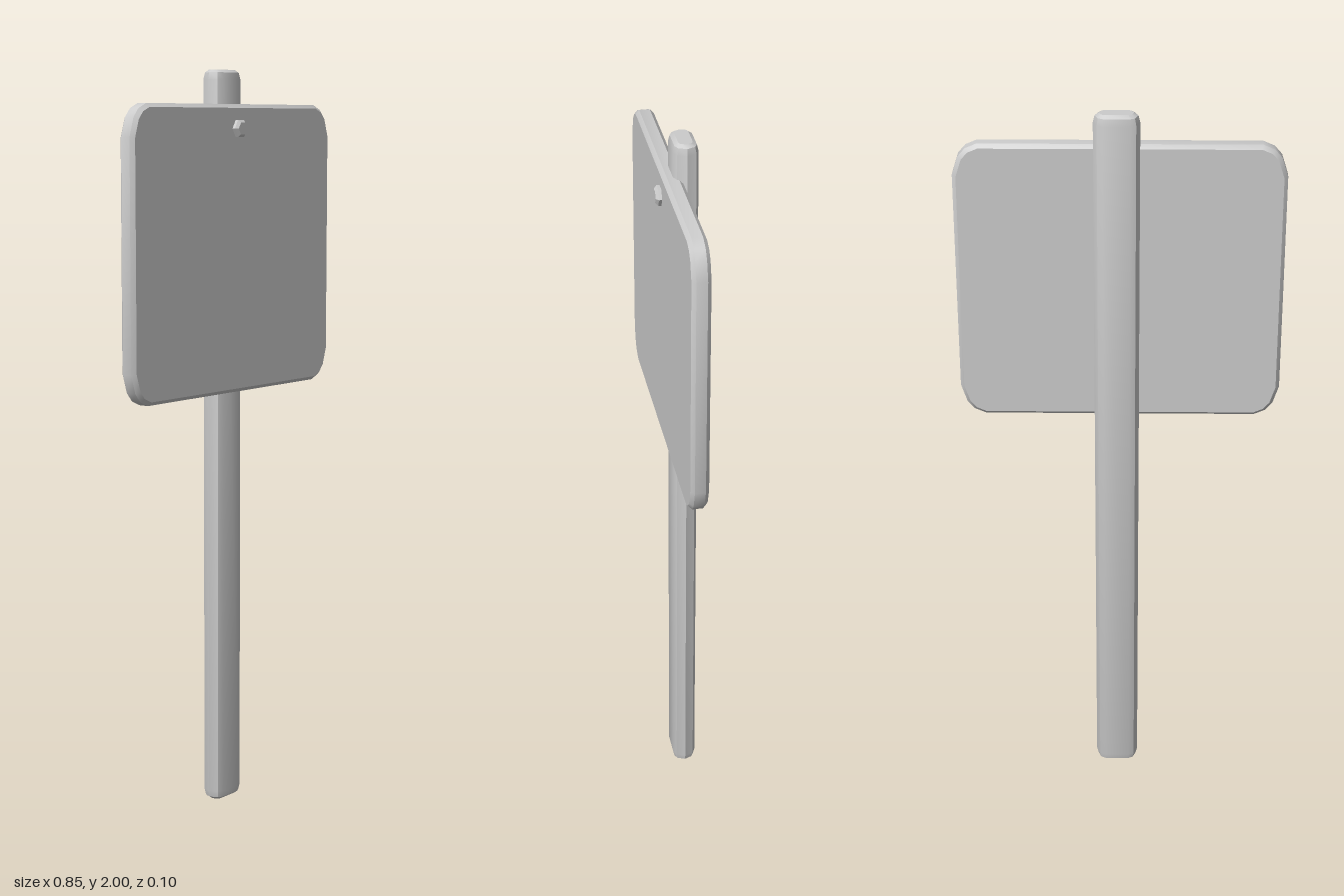
import * as THREE from 'three';
import { toCreasedNormals } from 'three/addons/utils/BufferGeometryUtils.js';

const material = new THREE.MeshStandardMaterial({ color: 0xcccccc });

// Solid plate of the given outline and total thickness, bevelled inwards, from z = 0 up
function bevelledSolid(points, length, bevelHeight, bevelInset, segments, crease) {
  const shape = new THREE.Shape(points.map(([x, y]) => new THREE.Vector2(x, y)));
  const geometry = new THREE.ExtrudeGeometry(shape, {
    depth: length - 2 * bevelHeight,
    bevelThickness: bevelHeight,
    bevelSize: bevelInset,
    bevelOffset: -bevelInset,
    bevelSegments: segments,
  });
  geometry.translate(0, 0, bevelHeight);
  return toCreasedNormals(geometry, crease);
}

// Outline from one quadrant of points, listed from the +x side to the +y side
function mirrorQuadrant(quadrant) {
  const back = [...quadrant].reverse();
  const all = [
    ...quadrant,
    ...back.map(([x, y]) => [-x, y]),
    ...quadrant.map(([x, y]) => [-x, -y]),
    ...back.map(([x, y]) => [x, -y]),
  ];
  // drop doubled points lying on an axis
  return all.filter(([x, y], i) => {
    const [px, py] = all[(i + all.length - 1) % all.length];
    return Math.hypot(x - px, y - py) > 1e-6;
  });
}

export function createModel() {
  const group = new THREE.Group();
  const add = (name, geometry, x, y, z) => {
    const mesh = new THREE.Mesh(geometry, material);
    mesh.name = name;
    mesh.position.set(x, y, z);
    group.add(mesh);
    return mesh;
  };

  // Upright post: flat faces, pointed sides, rounded ends
  const postOutline = mirrorQuadrant([[0.059, 0], [0.049, 0.024], [0.034, 0.032]]);
  const post = bevelledSolid(postOutline, 2, 0.025, 0.014, 2, 0.6);
  post.rotateX(-Math.PI / 2);
  add('post', post, 0.008, 0, -0.021);

  // Sign board with faceted round corners
  const w = 0.424, h = 0.384;
  const boardOutline = mirrorQuadrant([[w, h - 0.085], [w - 0.016, h - 0.035], [w - 0.035, h - 0.013], [w - 0.065, h]]);
  add('signBoard', bevelledSolid(boardOutline, 0.048, 0.01, 0.01, 1, 0.5), 0, 1.526, -0.012);

  // Hexagonal bolt head near the top of the board
  const hexagon = [];
  for (let i = 0; i < 6; i++) {
    const a = (i * Math.PI) / 3;
    hexagon.push([0.026 * Math.cos(a), 0.026 * Math.sin(a)]);
  }
  add('boltHead', bevelledSolid(hexagon, 0.03, 0.007, 0.007, 1, 0.5), 0.007, 1.846, 0.021);

  return group;
}
